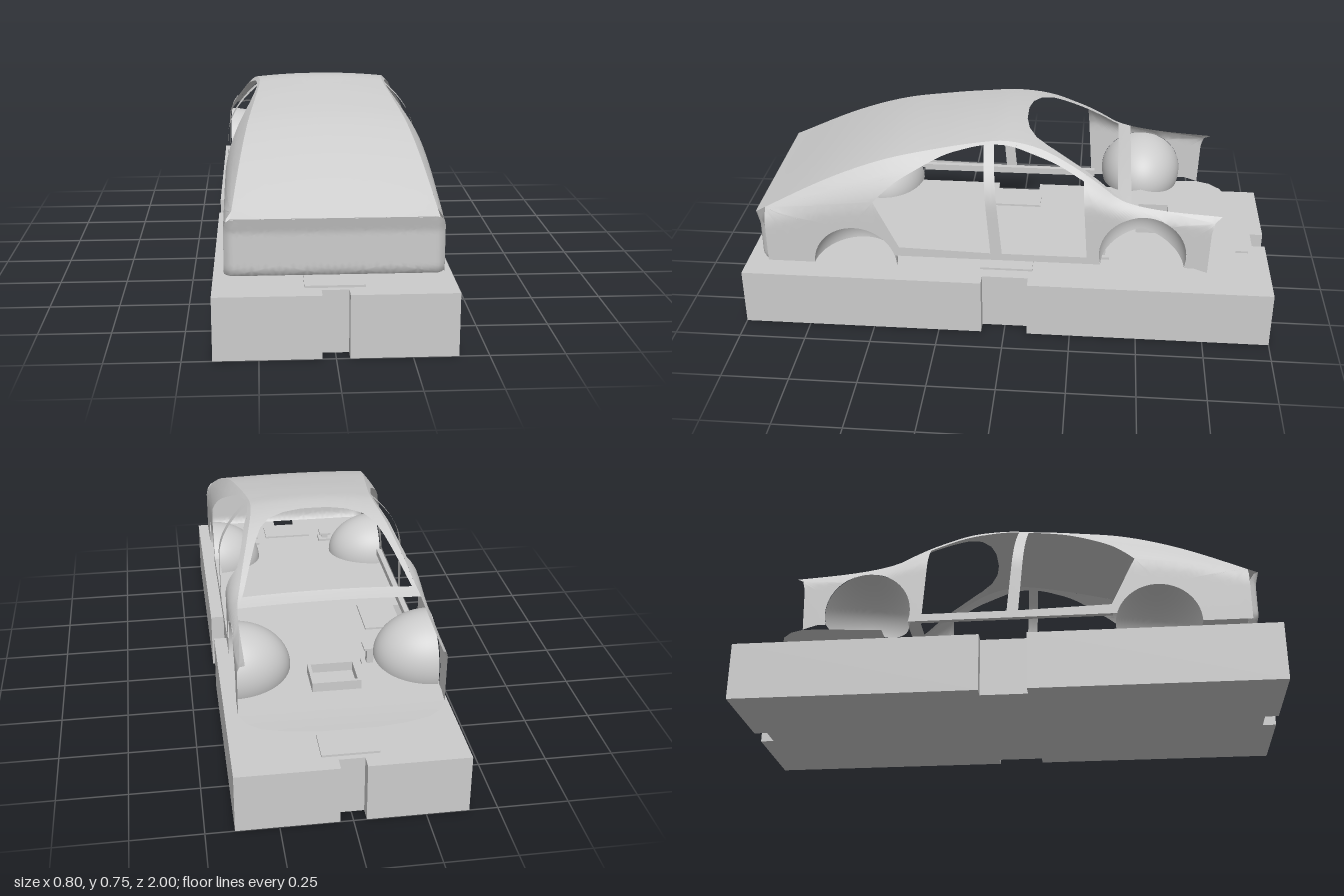
import * as THREE from 'three';
import { mergeVertices } from 'three/addons/utils/BufferGeometryUtils.js';

const grey = new THREE.MeshStandardMaterial({ color: 0xcccccc, side: THREE.DoubleSide });
grey.name = 'light grey';

// Smooth function through [z, value] points listed with z ascending
function profile(pts) {
  const slope = (i) => {
    const a = pts[Math.max(i - 1, 0)], b = pts[Math.min(i + 1, pts.length - 1)];
    return (b[1] - a[1]) / (b[0] - a[0]);
  };
  return (z) => {
    let i = 0;
    while (i < pts.length - 2 && z > pts[i + 1][0]) i++;
    const [z0, a] = pts[i], [z1, b] = pts[i + 1], h = z1 - z0;
    const t = Math.min(Math.max((z - z0) / h, 0), 1), t2 = t * t, t3 = t2 * t;
    return (2 * t3 - 3 * t2 + 1) * a + (t3 - 2 * t2 + t) * h * slope(i)
      + (3 * t2 - 2 * t3) * b + (t3 - t2) * h * slope(i + 1);
  };
}

// Body rules along z: roof ridge height, roof half-width, belt height, roof crown
const ridge = profile([[-0.79, 0.513], [-0.56, 0.535], [-0.42, 0.568], [-0.34, 0.62], [-0.26, 0.668],
  [-0.13, 0.727], [0, 0.748], [0.11, 0.738], [0.25, 0.716], [0.46, 0.67], [0.67, 0.59], [0.94, 0.452]]);
const halfWidth = profile([[-0.79, 0.335], [-0.45, 0.33], [-0.34, 0.305], [-0.2, 0.27], [-0.06, 0.242],
  [0.05, 0.235], [0.2, 0.248], [0.5, 0.285], [0.94, 0.337]]);
const belt = profile([[-0.8, 0.46], [-0.45, 0.49], [-0.3, 0.52], [0, 0.52], [0.5, 0.48], [0.94, 0.4]]);
const crown = profile([[-0.79, 0.004], [-0.4, 0.01], [0, 0.013], [0.4, 0.01], [0.94, 0]]);
const edgeY = (z) => ridge(z) - crown(z);
const roofY = (x, z) => ridge(z) - crown(z) * (x / halfWidth(z)) ** 2;
const sideX = (y, z) => {
  const t = Math.min(Math.max((y - belt(z)) / (edgeY(z) - belt(z)), 0), 1);
  return 0.36 - (0.36 - halfWidth(z)) * t * t;
};

const V2 = (p) => new THREE.Vector2(p[0], p[1]);
const outline = (pts) => new THREE.Shape(pts.map(V2));
const mirrorX = (pts) => [...pts, ...pts.map(([x, z]) => [-x, z]).reverse()];
const steps = (a, b, n) => Array.from({ length: n + 1 }, (_, i) => a + (b - a) * i / n);

// Flat shape, split finely and bent by a rule (u, v) -> [x, y, z]
function bentPanel(name, shape, rule, maxEdge = 0.035) {
  const flat = new THREE.ShapeGeometry(shape, 28).toNonIndexed().attributes.position;
  const out = [];
  const split = (a, b, c) => {
    const d = [a.distanceTo(b), b.distanceTo(c), c.distanceTo(a)];
    const m = Math.max(...d);
    if (m <= maxEdge) {
      for (const p of [a, b, c]) out.push(...rule(p.x, p.y));
      return;
    }
    if (m === d[1]) [a, b, c] = [b, c, a];
    else if (m === d[2]) [a, b, c] = [c, a, b];
    const mid = a.clone().add(b).multiplyScalar(0.5);
    split(a, mid, c);
    split(mid, b, c);
  };
  for (let i = 0; i < flat.count; i += 3) {
    split(...[0, 1, 2].map((k) => new THREE.Vector2(flat.getX(i + k), flat.getY(i + k))));
  }
  let geo = new THREE.BufferGeometry();
  geo.setAttribute('position', new THREE.Float32BufferAttribute(out, 3));
  geo = mergeVertices(geo, 1e-5);
  geo.computeVertexNormals();
  return named(name, geo);
}

function named(name, geo) {
  const mesh = new THREE.Mesh(geo, grey);
  mesh.name = name;
  return mesh;
}

function box(name, w, h, d, x, y, z) {
  const mesh = named(name, new THREE.BoxGeometry(w, h, d));
  mesh.position.set(x, y, z);
  return mesh;
}

// Plan outline raised from height y
function slab(name, shape, height, y) {
  const geo = new THREE.ExtrudeGeometry(shape, { depth: height, bevelEnabled: false });
  geo.rotateX(-Math.PI / 2);
  geo.translate(0, y, 0);
  return named(name, geo);
}

// Side outline in (z, y) with wheel arches and two window openings
function sideShape() {
  const s = new THREE.Shape();
  s.moveTo(0.9, 0.257);
  s.lineTo(0.722, 0.257);
  s.absarc(0.565, 0.255, 0.157, 0, 2.85, false);
  s.lineTo(-0.355, 0.3);
  s.absarc(-0.51, 0.345, 0.16, -0.28, Math.PI + 0.28, false);
  for (const p of [[-0.7, 0.3], [-0.75, 0.284], [-0.755, 0.45], [-0.765, 0.49]]) s.lineTo(...p);
  for (const z of steps(-0.79, 0.9, 56)) s.lineTo(z, edgeY(z));
  const rear = new THREE.Path([[0.053, 0.328], [0.396, 0.337], [0.487, 0.524]].map(V2));
  rear.splineThru([[0.44, 0.568], [0.38, 0.612], [0.246, 0.68], [0.15, 0.708], [0.086, 0.72]].map(V2));
  const front = new THREE.Path([[-0.305, 0.328], [0.01, 0.328], [0.048, 0.724]].map(V2));
  front.splineThru([[-0.01, 0.722], [-0.075, 0.708], [-0.18, 0.675], [-0.285, 0.622]].map(V2));
  s.holes.push(rear, front);
  return s;
}

// Inward dome behind a wheel arch; s is the side
function wheelWell(s, y, z, r, reach, drop) {
  const geo = new THREE.SphereGeometry(1, 40, 16, -drop, Math.PI + 2 * drop, 0, Math.PI / 2);
  geo.rotateX(-Math.PI / 2);
  geo.rotateZ(Math.PI);
  // dome axis now lies along z: swing it inward, keeping the open part below
  geo.rotateY(s > 0 ? Math.PI / 2 : -Math.PI / 2);
  geo.computeBoundingBox();
  const inward = geo.boundingBox.max.x > 0.5 ? 1 : -1;
  const up = geo.boundingBox.max.y > 0.9 ? 1 : -1;
  geo.scale(inward * -s * reach, up * r, r * inward * -s * up);
  const mesh = named('wheelWell', geo);
  mesh.position.set(s * 0.357, y, z);
  return mesh;
}

export function createModel() {
  const model = new THREE.Group();
  model.name = 'carShellOnPlinth';

  // Plinth with a notch in the middle of every edge
  const quarter = [[0.4, 0.087], [0.4, 1], [0.045, 1], [0.045, 0.95]];
  const right = [[0.35, 0.087], ...quarter];
  const half = [...right.map(([x, z]) => [x, -z]).reverse(), ...right];
  model.add(slab('plinth', outline(mirrorX(half)), 0.218, 0));

  // Thin marker plates on the plinth
  for (const s of [1, -1]) {
    model.add(box('endPlate', 0.2, 0.008, 0.12, 0, 0.222, s * 0.87));
    model.add(box('sidePlate', 0.1, 0.008, 0.2, s * 0.25, 0.222, 0));
  }

  // Support posts
  for (const s of [1, -1]) {
    for (const [z, top] of [[0.77, 0.257], [-0.36, 0.3]]) {
      const post = new THREE.Group();
      post.name = 'supportPost';
      post.add(box('foot', 0.06, 0.01, 0.06, s * 0.167, 0.226, z));
      post.add(box('stem', 0.025, top - 0.23, 0.03, s * 0.167, (top + 0.23) / 2, z));
      post.add(box('cap', 0.05, 0.008, 0.055, s * 0.167, top - 0.004, z));
      model.add(post);
    }
  }

  const body = new THREE.Group();
  body.name = 'carBody';
  model.add(body);

  // Side panels, sills and wheel wells
  for (const s of [1, -1]) {
    body.add(bentPanel('sidePanel', sideShape(), (z, y) => [s * sideX(y, z), y, z]));
    body.add(box('sill', 0.02, 0.026, 0.72, s * 0.349, 0.314, 0.04));
    body.add(wheelWell(s, 0.345, -0.51, 0.16, 0.205, 0.28));
    body.add(wheelWell(s, 0.255, 0.565, 0.157, 0.2, 0));
  }

  // Roof, rear deck, windscreen pillars and cowl in one sheet
  const roof = outline(mirrorX(steps(-0.46, 0.936, 46).map((z) => [halfWidth(z), z])));
  const screen = [[0.308, -0.41], [0.283, -0.34], [0.24, -0.21], [0.215, -0.15], [0.18, -0.105],
    [0.12, -0.075], [0.05, -0.062]];
  roof.holes.push(new THREE.Path(mirrorX(screen).map(V2)));
  body.add(bentPanel('roof', roof, (x, z) => [x, roofY(x, z), z]));

  // Tail panel with rounded corners and a small lip on top
  const tail = outline(mirrorX([[0.36, 0.257], [0.36, 0.415], [0.353, 0.44], [0.337, 0.456]]));
  body.add(bentPanel('tailPanel', tail, (x, y) => {
    const side = Math.max((Math.abs(x) - 0.33) / 0.03, 0);
    const low = Math.max((0.285 - y) / 0.028, 0);
    const lip = Math.max((y - 0.405) / 0.05, 0);
    const z = 0.924 + 0.012 * lip - 0.025 * side * side - 0.012 * low * low;
    return [x, y, z];
  }, 0.02));

  // Bay floor ending in a curved apron
  const apron = outline(mirrorX([[0.33, -0.46], [0.355, -0.68], [0.358, -0.75], [0.335, -0.8], [0.29, -0.84],
    [0.2, -0.87], [0.1, -0.885]]));
  body.add(bentPanel('bayFloor', apron, (x, z) => {
    const k = Math.max((-0.7 - z) / 0.19, 0);
    return [x, 0.284 + 0.008 * k * k, z];
  }));

  // Open frame on the bay floor
  const frame = outline([[-0.088, 0.49], [0.088, 0.49], [0.088, 0.63], [-0.088, 0.63]]);
  frame.holes.push(new THREE.Path([[-0.076, 0.502], [-0.076, 0.618], [0.076, 0.618], [0.076, 0.502]].map(V2)));
  body.add(slab('bayFrame', frame, 0.035, 0.285));

  return model;
}
